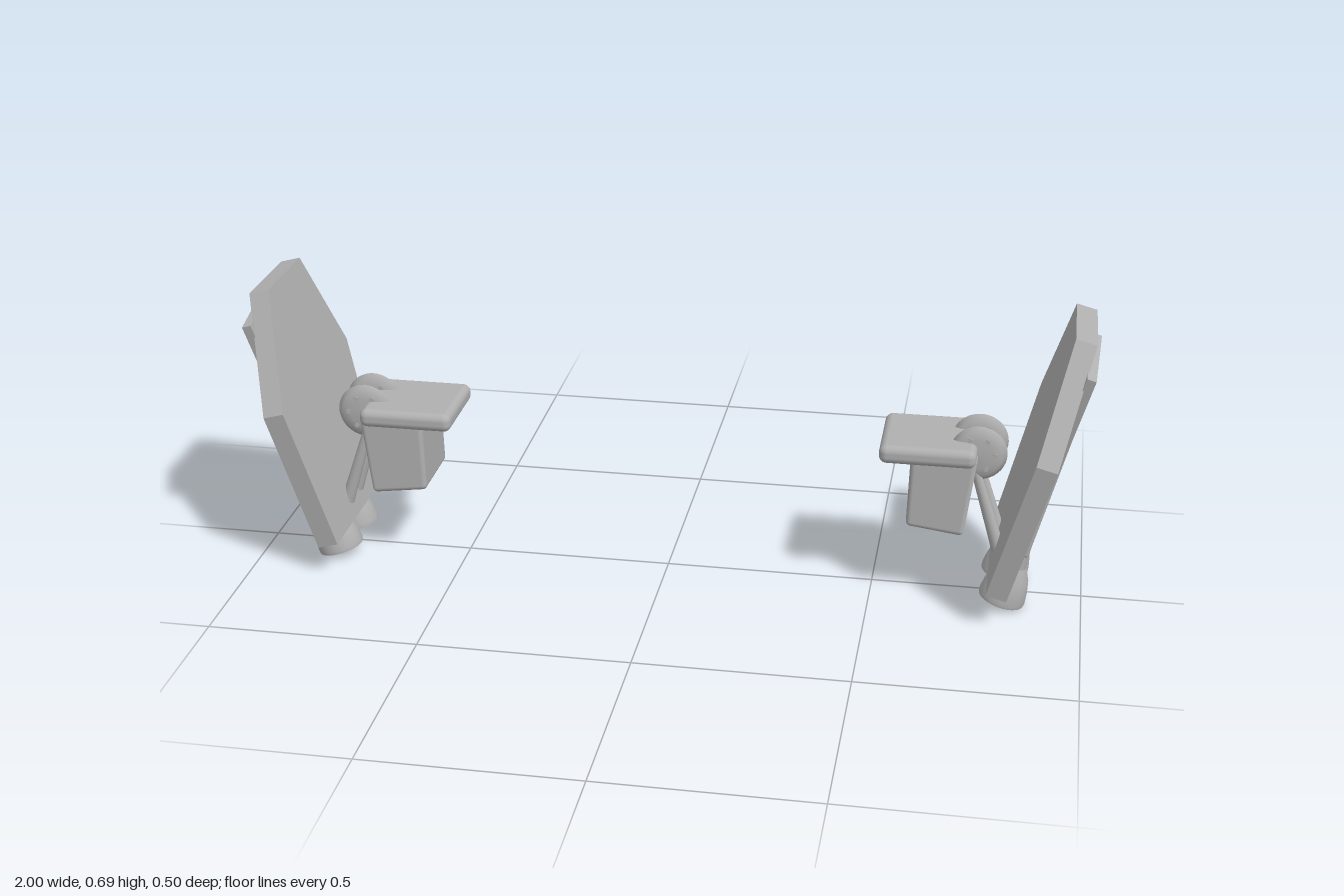
import * as THREE from 'three';
import { RoundedBoxGeometry } from 'three/addons/geometries/RoundedBoxGeometry.js';

const TILT = THREE.MathUtils.degToRad(15);
const grey = new THREE.MeshStandardMaterial({ color: 0xb0b0b0 });
grey.name = 'plain grey';

function add(parent, name, geometry, x = 0, y = 0, z = 0) {
  const mesh = new THREE.Mesh(geometry, grey);
  mesh.name = name;
  mesh.position.set(x, y, z);
  parent.add(mesh);
  return mesh;
}

function lathe(points, segments = 32) {
  return new THREE.LatheGeometry(points.map(([r, y]) => new THREE.Vector2(r, y)), segments);
}

// Tapered rod between two points
function rod(parent, name, a, b, ra, rb) {
  const dir = b.clone().sub(a);
  const mesh = add(parent, name, new THREE.CylinderGeometry(rb, ra, dir.length(), 14));
  mesh.position.copy(a).add(b).multiplyScalar(0.5);
  mesh.quaternion.setFromUnitVectors(new THREE.Vector3(0, 1, 0), dir.normalize());
}

// Leaning shield with its outer layers and thrusters; local x points outward
function buildShield(pod) {
  const shield = new THREE.Group();
  shield.name = 'shield';
  shield.position.set(0.826, 0.075, 0);
  shield.rotation.z = -TILT;
  pod.add(shield);

  // Six-sided plate drawn in (-z, y) and extruded inward
  const outline = [[-0.2, 0], [0.2, 0], [0.25, 0.368], [0.131, 0.63], [-0.1, 0.63], [-0.25, 0.368]];
  const plate = new THREE.ExtrudeGeometry(
    new THREE.Shape(outline.map(([x, y]) => new THREE.Vector2(x, y))),
    { depth: 0.05, bevelEnabled: false });
  plate.translate(0, 0, -0.05).rotateY(Math.PI / 2);
  add(shield, 'shieldPlate', plate);

  // Skewed middle layer, upright outer cover and its corner tab
  const skewed = add(shield, 'skewedPanel', new THREE.BoxGeometry(0.022, 0.37, 0.203), 0.008, 0.405, 0.026);
  skewed.rotation.x = THREE.MathUtils.degToRad(10.3);
  add(shield, 'outerCover', new RoundedBoxGeometry(0.03, 0.4, 0.2, 3, 0.008), 0.009, 0.273, 0);
  add(shield, 'coverTab', new RoundedBoxGeometry(0.024, 0.05, 0.04, 2, 0.008), 0.01, 0.463, -0.079);

  // Pair of bell thrusters
  for (const z of [-0.067, 0.067]) {
    const thruster = new THREE.Group();
    thruster.name = 'thruster';
    thruster.position.set(0.002, 0, z);
    shield.add(thruster);
    add(thruster, 'bell', lathe([[0.055, -0.059], [0.056, -0.05], [0.053, -0.025], [0.046, 0.005], [0.031, 0.037]]));
    add(thruster, 'bellBase', lathe([[0, -0.06], [0.055, -0.059]]));
    add(thruster, 'neck', new THREE.CylinderGeometry(0.024, 0.03, 0.07, 32), 0, 0.067, 0);
  }
}

// Inner mount: lidded box, hinge discs and struts
function buildMount(pod) {
  add(pod, 'mountLid', new RoundedBoxGeometry(0.225, 0.045, 0.22, 4, 0.018), 0.624, 0.382, 0);

  // Box narrows slightly downward and its floor drops toward the shield
  const box = new RoundedBoxGeometry(0.155, 0.19, 0.19, 3, 0.012);
  const p = box.attributes.position;
  for (let i = 0; i < p.count; i++) {
    const down = 0.5 - p.getY(i) / 0.19;
    const out = p.getX(i) / 0.155 + 0.5;
    p.setX(i, p.getX(i) - down * (0.005 + 0.02 * out));
    p.setY(i, p.getY(i) - down * 0.018 * (out - 0.5));
  }
  add(pod, 'mountBox', box, 0.6625, 0.285, 0);

  for (const z of [-0.038, 0.038]) {
    const hinge = new THREE.Group();
    hinge.name = 'hinge';
    hinge.position.set(0.739, 0.375, z);
    pod.add(hinge);
    // Lens-shaped disc with a ring of bolts
    const disc = lathe([[0, -0.015], [0.035, -0.014], [0.055, -0.009], [0.067, 0],
      [0.055, 0.009], [0.035, 0.014], [0, 0.015]], 40);
    add(hinge, 'hingeDisc', disc.rotateX(Math.PI / 2));
    for (let i = 0; i < 6; i++) {
      const a = (i * Math.PI) / 3;
      add(hinge, 'bolt', new THREE.CylinderGeometry(0.006, 0.006, 0.03, 10).rotateX(Math.PI / 2),
        0.04 * Math.cos(a), 0.04 * Math.sin(a), 0);
    }
    rod(pod, 'strut', new THREE.Vector3(0.798, 0.13, z), new THREE.Vector3(0.735, 0.33, z), 0.016, 0.011);
  }
  add(pod, 'hingeAxle', new THREE.CylinderGeometry(0.014, 0.014, 0.08, 16).rotateX(Math.PI / 2), 0.739, 0.375, 0);
}

// Mirrored copy across x = 0 with corner order reversed
function mirrorPod(pod) {
  const copy = new THREE.Group();
  copy.name = 'rightPod';
  const flip = new THREE.Matrix4().makeScale(-1, 1, 1);
  pod.updateMatrixWorld(true);
  pod.traverse((o) => {
    if (!o.isMesh) return;
    const source = o.geometry.index ? o.geometry.toNonIndexed() : o.geometry.clone();
    source.applyMatrix4(flip.clone().multiply(o.matrixWorld));
    const order = [];
    for (let i = 0; i < source.attributes.position.count; i += 3) order.push(i, i + 2, i + 1);
    source.setIndex(order);
    add(copy, o.name, source);
  });
  return copy;
}

export function createModel() {
  const model = new THREE.Group();
  model.name = 'shieldPods';
  const left = new THREE.Group();
  left.name = 'leftPod';
  buildShield(left);
  buildMount(left);
  model.add(left, mirrorPod(left));
  return model;
}
